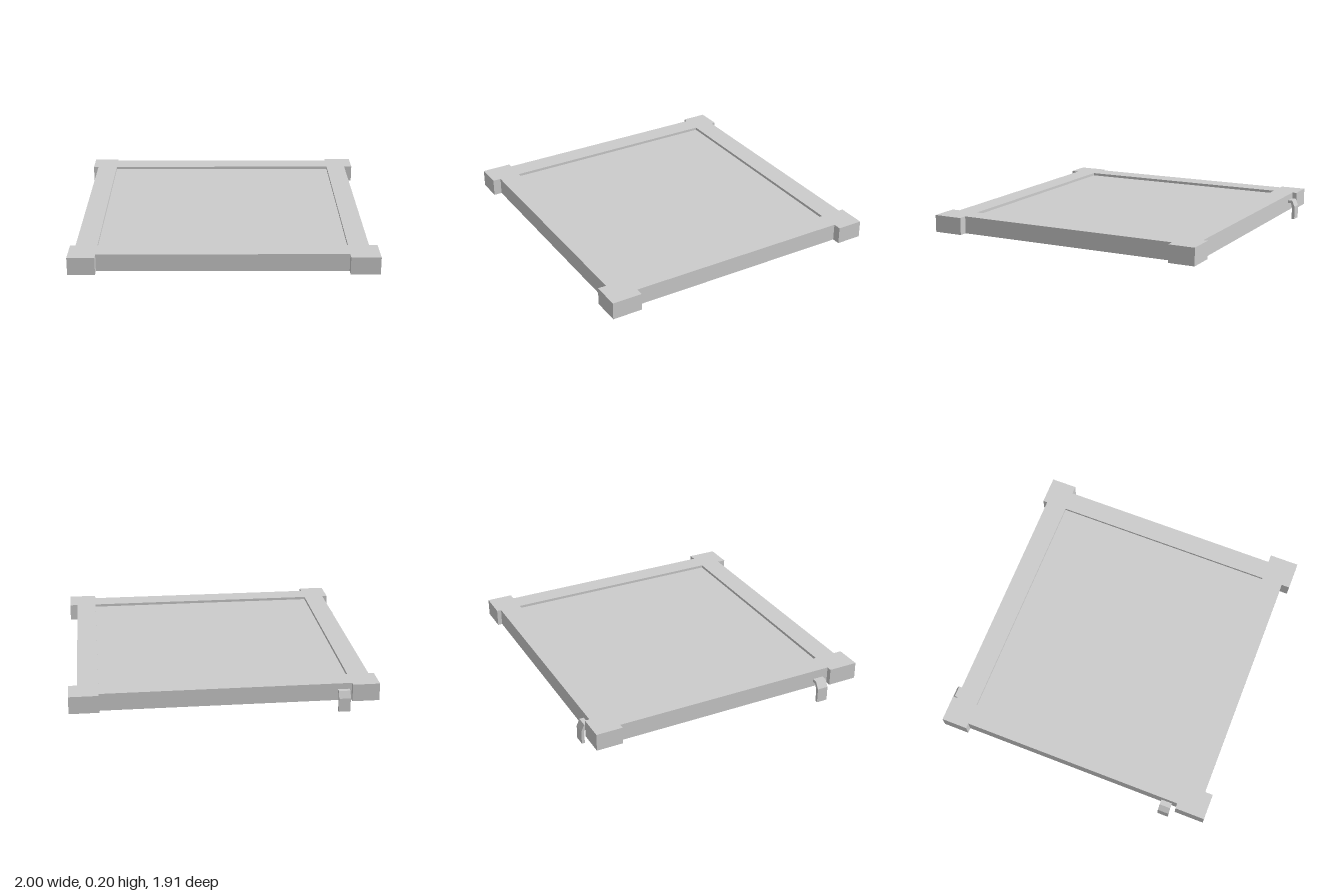
import * as THREE from 'three';

const material = new THREE.MeshStandardMaterial({ color: 0xcccccc, flatShading: true });
const TOP = 0.205, BOTTOM = 0.09;

const toPoints = (list) => list.map(([x, y]) => new THREE.Vector2(x, y));

function extrude(name, points, depth, holes = []) {
  const shape = new THREE.Shape(toPoints(points));
  holes.forEach((h) => shape.holes.push(new THREE.Path(toPoints(h))));
  const geometry = new THREE.ExtrudeGeometry(shape, { depth, bevelEnabled: false });
  const mesh = new THREE.Mesh(geometry, material);
  mesh.name = name;
  return mesh;
}

// Bent strap: leaves the frame edge level, slopes outward, then hangs straight down
function makeClip(name, reach, out, top, knee, bottom) {
  const t = 0.02;
  return extrude(name, [
    [-0.01, top - t], [reach - 0.008, top - t], [out - t, knee - 0.01], [out - t, bottom],
    [out, bottom], [out, knee], [reach, top], [-0.01, top],
  ], 0.075);
}

export function createModel() {
  const group = new THREE.Group();
  group.name = 'framedTray';

  // Inner opening (x0..x1, z0..z1)
  const x0 = -0.795, x1 = 0.81, z0 = -0.76, z1 = 0.755;

  // Frame outline in plan, with the corner blocks standing proud of the rails
  const frame = extrude('frame', [
    [-0.97, -0.935], [x0, -0.935], [x0, -0.905], [x1, -0.905], [x1, -0.935], [1, -0.935],
    [1, z0], [0.945, z0], [0.945, z1], [1, z1],
    [1, 0.955], [x1, 0.955], [x1, 0.9], [x0, 0.9], [x0, 0.955], [-0.97, 0.955],
    [-0.97, z1], [-0.935, z1], [-0.935, z0], [-0.97, z0],
  ], TOP - BOTTOM, [[[x0, z0], [x0, z1], [x1, z1], [x1, z0]]]);
  frame.rotation.x = Math.PI / 2;
  frame.position.y = TOP;
  group.add(frame);

  // Panel recessed on both faces
  const recess = 0.018;
  const panel = new THREE.Mesh(
    new THREE.BoxGeometry(x1 - x0, TOP - BOTTOM - 2 * recess, z1 - z0), material);
  panel.name = 'panel';
  panel.position.set((x0 + x1) / 2, (TOP + BOTTOM) / 2, (z0 + z1) / 2);
  group.add(panel);

  // Hanging clips on the right and back rails
  const sideClip = makeClip('sideClip', 0.035, 0.065, 0.145, 0.1, 0);
  sideClip.rotation.y = Math.PI;
  sideClip.position.set(-0.935, 0, 0.72);
  const backClip = makeClip('backClip', 0.03, 0.05, 0.165, 0.12, 0.03);
  backClip.rotation.y = Math.PI / 2;
  backClip.position.set(-0.78, 0, -0.905);
  group.add(sideClip, backClip);

  return group;
}
